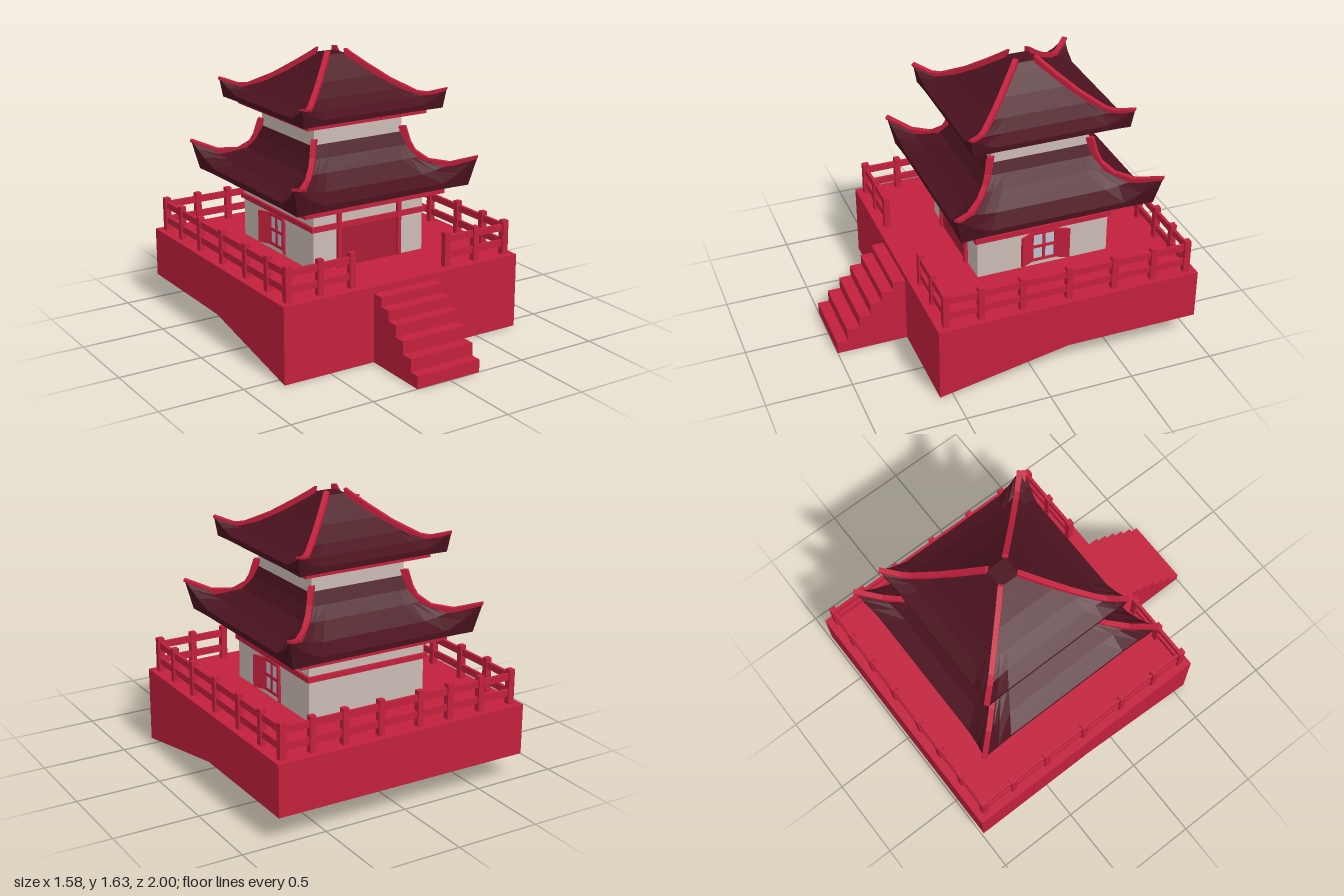
import * as THREE from 'three';

const mat = (color, extra = {}) => new THREE.MeshStandardMaterial({ color, flatShading: true, side: THREE.DoubleSide, ...extra });
const RED = mat(0xc1203c), DOOR = mat(0xa81d36), DARK = mat(0x4a121e), WALL = mat(0xcbbbb4), PANE = mat(0xbfc3d0);
const CZ = -0.21; // centre of the tower in z

function add(parent, name, geo, material, x = 0, y = 0, z = 0) {
  const m = new THREE.Mesh(geo, material);
  m.name = name;
  m.position.set(x, y, z);
  parent.add(m);
  return m;
}

// Box given by its limits
function block(parent, name, material, [x0, x1], [y0, y1], [z0, z1]) {
  return add(parent, name, new THREE.BoxGeometry(x1 - x0, y1 - y0, z1 - z0), material,
    (x0 + x1) / 2, (y0 + y1) / 2, (z0 + z1) / 2);
}

function fromQuads(quads) {
  const pos = [];
  for (const [a, b, c, d] of quads) pos.push(...a, ...b, ...c, ...a, ...c, ...d);
  const g = new THREE.BufferGeometry();
  g.setAttribute('position', new THREE.Float32BufferAttribute(pos, 3));
  g.computeVertexNormals();
  return g;
}

// Hollow shell, open below: a (z, y) profile swept along x, plus two side sheets
function shell(parent, name, profile, bottom, x0, x1) {
  const g = new THREE.Group();
  g.name = name;
  const quads = [];
  for (let i = 0; i + 1 < profile.length; i++) {
    const [z, y] = profile[i], [z2, y2] = profile[i + 1];
    quads.push([[x0, y, z], [x1, y, z], [x1, y2, z2], [x0, y2, z2]]);
  }
  add(g, name + 'Top', fromQuads(quads), RED);
  const outline = new THREE.Shape([...profile, ...bottom].map(p => new THREE.Vector2(...p)));
  for (const x of [x0, x1]) add(g, name + 'Side', new THREE.ShapeGeometry(outline).rotateY(-Math.PI / 2), RED, x);
  parent.add(g);
}

// Square roof: levels are [half width, y, corner half width, corner y]
function roof(parent, name, levels, hipTop, firstHip, lastHip) {
  const g = new THREE.Group();
  g.name = name;
  g.position.z = CZ;
  const us = [-1, -0.93, -0.85, -0.7, 0.7, 0.85, 0.93, 1];
  const point = (u, [h, y, c = h, yc = y], k) => {
    const t = Math.pow(Math.max(0, (Math.abs(u) - 0.7) / 0.3), 1.5);
    const r = h + (c - h) * t;
    let x = u * r, z = r;
    for (let i = 0; i < k; i++) [x, z] = [z, -x];
    return [x, y + (yc - y) * t, z];
  };
  const quads = [];
  for (let k = 0; k < 4; k++)
    for (let l = 0; l + 1 < levels.length; l++)
      for (let i = 0; i + 1 < us.length; i++)
        quads.push([point(us[i], levels[l], k), point(us[i + 1], levels[l], k),
          point(us[i + 1], levels[l + 1], k), point(us[i], levels[l + 1], k)]);
  add(g, name + 'Tiles', fromQuads(quads), DARK);
  // Hip ridges along the four corners
  const under = levels.slice(firstHip, lastHip + 1).map(([h, y, c = h, yc = y]) => [c, yc - 0.01]).reverse();
  const shape = new THREE.Shape([...hipTop, ...under].map(([c, y]) => new THREE.Vector2(c * Math.SQRT2, y)));
  for (let k = 0; k < 4; k++) {
    const geo = new THREE.ExtrudeGeometry(shape, { depth: 0.03, bevelEnabled: false }).translate(0, 0, -0.015);
    add(g, name + 'Hip', geo, RED).rotation.y = Math.PI / 4 + k * Math.PI / 2;
  }
  parent.add(g);
}

// Four wall sheets without top or bottom
function walls(parent, name, hx, hz, y0, y1, cz) {
  const c = [[-hx, hz], [hx, hz], [hx, -hz], [-hx, -hz]];
  add(parent, name, fromQuads(c.map(([x, z], i) => {
    const [x2, z2] = c[(i + 1) % 4];
    return [[x, y0, z], [x2, y0, z2], [x2, y1, z2], [x, y1, z]];
  })), WALL, 0, 0, cz);
}

function railing(parent, name, posts, fixed, alongX) {
  const g = new THREE.Group();
  g.name = name;
  const bar = (n, a, b, y0, y1, w) => {
    const across = [fixed - w, fixed + w];
    block(g, n, RED, alongX ? [a, b] : across, [y0, y1], alongX ? across : [a, b]);
  };
  for (const p of posts) bar('railPost', p - 0.018, p + 0.018, 0.43, 0.655, 0.018);
  const a = Math.min(...posts), b = Math.max(...posts);
  for (const y of [0.497, 0.592]) bar('rail', a, b, y, y + 0.04, 0.009);
  parent.add(g);
}

export function createModel() {
  const model = new THREE.Group();
  model.name = 'pagoda';

  // Terrace with its sloping lower edge, and the stairs
  shell(model, 'terrace', [[0.577, 0], [0.577, 0.45], [-1, 0.45], [-1, 0.15]], [[-0.2, 0.15]], -0.79, 0.785);
  const zs = [1, 0.935, 0.86, 0.79, 0.72, 0.65, 0.577], ys = [0, 0.075, 0.15, 0.225, 0.295, 0.355, 0.41];
  const steps = [[1, 0]];
  for (let i = 0; i < 6; i++) steps.push([zs[i], ys[i + 1]], [zs[i + 1], ys[i + 1]]);
  shell(model, 'stairs', steps, [[0.577, 0]], -0.215, 0.2);

  // Railings, open at the stairs
  railing(model, 'frontRailingRight', [-0.735, -0.53, -0.325], 0.517, true);
  railing(model, 'frontRailingLeft', [0.315, 0.52, 0.73], 0.517, true);
  railing(model, 'backRailing', [-0.735, -0.525, -0.315, -0.12, 0.13, 0.355, 0.555, 0.735], -0.942, true);
  for (const x of [-0.735, 0.733])
    railing(model, x < 0 ? 'rightRailing' : 'leftRailing', [0.52, 0.315, 0.07, -0.21, -0.487, -0.73, -0.94], x, false);

  // Ground floor
  walls(model, 'groundFloorWalls', 0.373, 0.403, 0.38, 0.86, -0.207);
  block(model, 'door', DOOR, [-0.2, 0.2], [0.44, 0.69], [0.18, 0.202]);
  for (const x of [-0.207, 0.2]) block(model, 'doorPost', RED, [x - 0.012, x + 0.012], [0.38, 0.81], [0.18, 0.217]);
  for (const s of [1, -1]) {
    block(model, 'crossBeam', RED, [-0.39, 0.388], [0.685, 0.716], s > 0 ? [0.18, 0.212] : [-0.625, -0.595]);
    const side = (a, b) => s > 0 ? [a, b] : [-b, -a];
    block(model, 'sideBeam', RED, side(0.36, 0.388), [0.685, 0.716], [-0.6, 0.19]);

    // Window with frame, glazing bars and open shutters
    block(model, 'windowPane', PANE, side(0.365, 0.377), [0.49, 0.67], [-0.28, -0.135]);
    for (const z of [-0.28, -0.208, -0.135])
      block(model, 'windowUpright', RED, side(0.37, 0.385), [0.485, 0.675], [z - 0.008, z + 0.008]);
    for (const y of [0.49, 0.58, 0.67])
      block(model, 'windowBar', RED, side(0.37, 0.385), [y - 0.008, y + 0.008], [-0.28, -0.135]);
    for (const d of [1, -1]) {
      const hinge = new THREE.Group();
      hinge.name = 'shutter';
      hinge.position.set(s * 0.378, 0.58, -0.208 + d * 0.073);
      hinge.rotation.y = s * d * 0.45;
      add(hinge, 'shutterPanel', new THREE.BoxGeometry(0.014, 0.195, 0.085), RED, 0, 0, d * 0.042);
      model.add(hinge);
    }
  }
  block(model, 'lowerEaveBand', RED, [-0.475, 0.473], [0.8, 0.858], [-0.692, 0.28]);

  // Lower roof
  roof(model, 'lowerRoof', [
    [0.3, 0.856], [0.57, 0.856, 0.578, 0.856], [0.572, 0.89, 0.615, 1.03], [0.47, 0.93, 0.49, 0.965],
    [0.365, 1.005, 0.37, 1.01], [0.322, 1.08], [0.295, 1.155], [0.28, 1.155],
  ], [[0.615, 1.035], [0.5, 0.988], [0.41, 1.0], [0.355, 1.05], [0.335, 1.1], [0.315, 1.19], [0.285, 1.19]], 2, 6);

  // Upper storey
  walls(model, 'upperStoreyWalls', 0.298, 0.295, 1.1, 1.29, CZ);
  block(model, 'upperEaveBand', RED, [-0.4, 0.4], [1.273, 1.311], [-0.617, 0.192]);

  // Upper roof
  roof(model, 'upperRoof', [
    [0.25, 1.309], [0.46, 1.309, 0.466, 1.309], [0.462, 1.34, 0.482, 1.425], [0.38, 1.37, 0.395, 1.378],
    [0.3, 1.415], [0.2, 1.485], [0.1, 1.57], [0.06, 1.605], [0, 1.605],
  ], [[0.482, 1.428], [0.4, 1.397], [0.36, 1.402], [0.25, 1.47], [0.15, 1.552], [0.085, 1.61], [0.065, 1.63], [0.055, 1.63]], 2, 7);

  return model;
}
